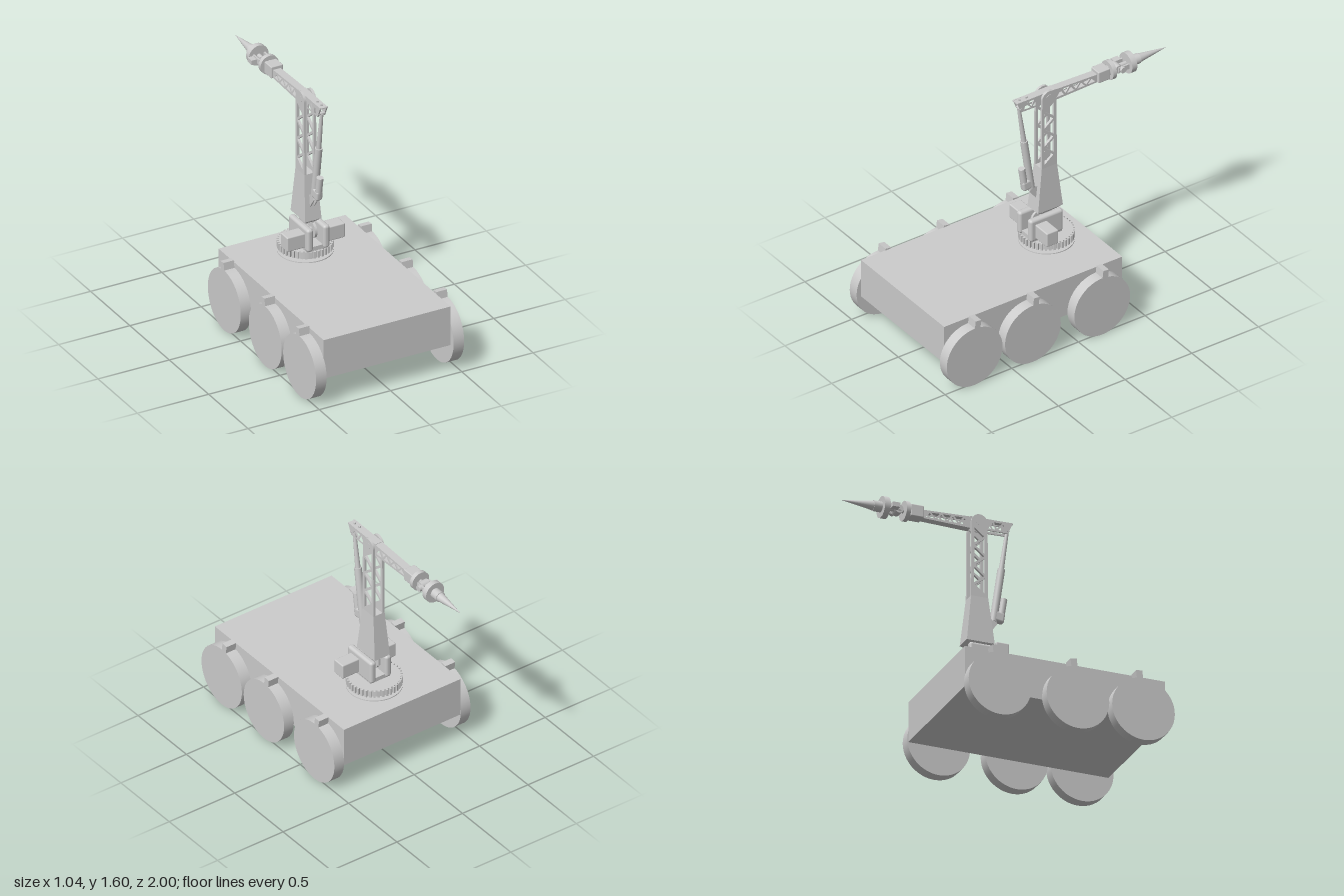
import * as THREE from 'three';
import { RoundedBoxGeometry } from 'three/addons/geometries/RoundedBoxGeometry.js';

const mat = new THREE.MeshStandardMaterial({ color: 0xcccccc });

function add(parent, name, geo, x = 0, y = 0, z = 0) {
  const mesh = new THREE.Mesh(geo, mat);
  mesh.name = name;
  mesh.position.set(x, y, z);
  parent.add(mesh);
  return mesh;
}
const box = (w, h, d) => new THREE.BoxGeometry(w, h, d);
const cylX = (r, len, seg = 32) => new THREE.CylinderGeometry(r, r, len, seg).rotateZ(Math.PI / 2);
const cylZ = (r, len, seg = 32) => new THREE.CylinderGeometry(r, r, len, seg).rotateX(Math.PI / 2);

// Round rod between two points of the x = 0 plane, given as [z, y]
function rod(parent, name, a, b, ra, rb, seg = 20) {
  const p = new THREE.Vector3(0, a[1], a[0]), q = new THREE.Vector3(0, b[1], b[0]);
  const dir = q.clone().sub(p);
  const mesh = add(parent, name, new THREE.CylinderGeometry(rb, ra, dir.length(), seg));
  mesh.position.copy(p).add(q).multiplyScalar(0.5);
  mesh.quaternion.setFromUnitVectors(new THREE.Vector3(0, 1, 0), dir.normalize());
  return mesh;
}

// Box tapering from bottom (w0 by z range) to top (w1 by z range)
function frustum(y0, w0, za0, zb0, y1, w1, za1, zb1) {
  const geo = box(1, 1, 1), p = geo.attributes.position;
  for (let i = 0; i < p.count; i++) {
    const top = p.getY(i) > 0, front = p.getZ(i) > 0;
    p.setXYZ(i, p.getX(i) * (top ? w1 : w0), top ? y1 : y0,
      top ? (front ? za1 : zb1) : (front ? za0 : zb0));
  }
  geo.computeVertexNormals();
  return geo;
}

// Alternating triangular cutouts between rail a0-a1 and rail b0-b1
function trussHoles(shape, a0, a1, b0, b1, n, shrink = 0.76) {
  const at = (p, q, t) => new THREE.Vector2(p[0] + (q[0] - p[0]) * t, p[1] + (q[1] - p[1]) * t);
  for (let i = 0; i < n; i++) {
    const rails = i % 2 ? [b0, b1, a0, a1] : [a0, a1, b0, b1];
    const tri = [at(rails[0], rails[1], i / (n + 1)), at(rails[0], rails[1], (i + 2) / (n + 1)),
      at(rails[2], rails[3], (i + 1) / (n + 1))];
    const c = tri[0].clone().add(tri[1]).add(tri[2]).divideScalar(3);
    shape.holes.push(new THREE.Path(tri.map(v => v.sub(c).multiplyScalar(shrink).add(c))));
  }
}

// Plate drawn in (z, y), centred on its thickness along x
function sidePlate(shape, t) {
  return new THREE.ExtrudeGeometry(shape, { depth: t, bevelEnabled: false, curveSegments: 16 })
    .translate(0, 0, -t / 2).rotateY(-Math.PI / 2);
}

function buildChassis(root) {
  add(root, 'chassis', box(0.89, 0.27, 1.335), -0.005, 0.322, 0.297);
  for (const x of [-0.485, 0.48]) {
    for (const z of [0.79, 0.353, -0.167]) {
      const wheel = new THREE.Group();
      wheel.name = 'wheel';
      wheel.position.set(x, 0.21, z);
      add(wheel, 'tyre', cylX(0.209, 0.074, 48));
      const tab = add(wheel, 'wheelTab', box(0.074, 0.07, 0.042), 0, 0.222, -0.025);
      tab.rotation.x = -0.12;
      root.add(wheel);
    }
  }
}

function buildTurntable(arm) {
  const z = -0.103;
  add(arm, 'basePlate', new THREE.CylinderGeometry(0.175, 0.175, 0.008, 48), 0, 0.459, z);
  add(arm, 'basePedestal', new THREE.CylinderGeometry(0.132, 0.132, 0.03, 48), 0, 0.475, z);
  add(arm, 'ringGear', new THREE.CylinderGeometry(0.163, 0.163, 0.046, 48), 0, 0.508, z);
  const teeth = new THREE.Group();
  teeth.name = 'gearTeeth';
  for (let i = 0; i < 40; i++) {
    const a = i / 40 * Math.PI * 2;
    const tooth = add(teeth, 'tooth', box(0.014, 0.046, 0.024),
      Math.sin(a) * 0.164, 0.508, z + Math.cos(a) * 0.164);
    tooth.rotation.y = a;
  }
  arm.add(teeth);

  // U-shaped yoke with the drive housings on both sides
  add(arm, 'yokeFloor', box(0.15, 0.028, 0.22), 0, 0.545, -0.055);
  for (const s of [-1, 1]) {
    add(arm, 'yokeCheek', new RoundedBoxGeometry(0.044, 0.158, 0.248, 4, 0.018), s * 0.058, 0.612, -0.053);
    add(arm, 'driveHousing', new RoundedBoxGeometry(0.135, 0.1, 0.088, 3, 0.008), s * 0.136, 0.606, -0.008);
    add(arm, 'pivotLug', cylX(0.055, 0.016), s * 0.024, 0.615, -0.06);
    add(arm, 'lugStem', box(0.016, 0.09, 0.08), s * 0.024, 0.65, -0.085);
  }
  add(arm, 'pivotPin', cylX(0.02, 0.1), 0, 0.615, -0.06);
}

function buildMast(arm) {
  add(arm, 'mastNeck', frustum(0.685, 0.07, -0.03, -0.15, 0.712, 0.115, 0, -0.186));
  add(arm, 'mastFoot', frustum(0.71, 0.115, 0, -0.186, 1.02, 0.085, -0.038, -0.152));
  // Lattice side plates with rounded heads
  const s = new THREE.Shape();
  s.moveTo(-0.152, 1.01);
  s.lineTo(-0.038, 1.01);
  s.lineTo(-0.042, 1.525);
  s.absarc(-0.095, 1.525, 0.053, 0, Math.PI, false);
  s.lineTo(-0.152, 1.01);
  trussHoles(s, [-0.052, 1.03], [-0.054, 1.5], [-0.138, 1.03], [-0.136, 1.5], 6, 0.78);
  for (const side of [-1, 1]) add(arm, 'mastSidePlate', sidePlate(s, 0.016), side * 0.0345);
  add(arm, 'boomPivot', cylX(0.022, 0.088), 0, 1.53, -0.095);
}

function buildBoom(arm) {
  const s = new THREE.Shape([[0.135, 1.565], [0.1, 1.49], [-0.15, 1.485], [-0.47, 1.495],
    [-0.47, 1.548], [-0.15, 1.56]].map(p => new THREE.Vector2(...p)));
  trussHoles(s, [-0.15, 1.493], [-0.46, 1.501], [-0.15, 1.552], [-0.46, 1.541], 7, 0.72);
  trussHoles(s, [0.09, 1.498], [-0.04, 1.495], [0.11, 1.555], [-0.04, 1.553], 3, 0.72);
  for (const side of [-1, 1]) add(arm, 'boomSidePlate', sidePlate(s, 0.008), side * 0.0225);
  add(arm, 'boomTopRear', box(0.053, 0.007, 0.285), 0, 1.56, -0.008);
  const top = add(arm, 'boomTopFront', box(0.053, 0.007, 0.32), 0, 1.551, -0.31);
  top.rotation.x = -0.037;
  const floor = add(arm, 'boomFloor', box(0.053, 0.007, 0.32), 0, 1.491, -0.31);
  floor.rotation.x = 0.031;
  for (const z of [0.1, 0.05])
    add(arm, 'boomBolt', new THREE.CylinderGeometry(0.008, 0.008, 0.014, 12), 0, 1.567, z);
  add(arm, 'rodPin', cylX(0.009, 0.056, 16), 0, 1.51, 0.103);
}

function buildActuator(arm) {
  rod(arm, 'pistonRod', [0.066, 1.24], [0.105, 1.51], 0.017, 0.011);
  rod(arm, 'actuatorBarrel', [0.013, 0.885], [0.067, 1.25], 0.024, 0.024);
  // Motor alongside the barrel and the gearbox joining them
  rod(arm, 'actuatorMotor', [0.06, 0.9], [0.084, 1.05], 0.022, 0.022);
  const gearbox = add(arm, 'actuatorGearbox', new RoundedBoxGeometry(0.046, 0.07, 0.085, 3, 0.015), 0, 0.922, 0.042);
  gearbox.rotation.x = 0.15;
  // Clevis on the front of the mast
  for (const side of [-1, 1]) {
    const s = new THREE.Shape([[-0.03, 0.78], [0.035, 0.87], [0.015, 0.9], [-0.03, 0.88]]
      .map(p => new THREE.Vector2(...p)));
    add(arm, 'actuatorClevis', sidePlate(s, 0.008), side * 0.014);
  }
}

function buildTool(arm) {
  const y = 1.53;
  const tool = new THREE.Group();
  tool.name = 'toolHead';
  tool.position.set(0.002, y, 0);
  add(tool, 'wristBox', new RoundedBoxGeometry(0.084, 0.08, 0.088, 2, 0.006), 0, 0, -0.508);
  add(tool, 'wristCollar', cylZ(0.035, 0.02), 0, 0, -0.552);
  add(tool, 'wristFlange', cylZ(0.064, 0.028, 40), 0, 0, -0.573);
  // Cross-axis wrist joint
  add(tool, 'wristShaft', cylZ(0.015, 0.12, 20), 0, 0, -0.635);
  add(tool, 'wristKnuckle', cylX(0.028, 0.06, 24), 0.005, 0, -0.622);
  for (const side of [-1, 1]) add(tool, 'wristFork', box(0.012, 0.034, 0.08), side * 0.038, 0, -0.655);
  add(tool, 'wristMotor', box(0.04, 0.03, 0.05), -0.062, -0.003, -0.665);
  add(tool, 'wristCap', cylX(0.02, 0.03, 20), 0.045, 0, -0.64);
  add(tool, 'toolFlange', cylZ(0.069, 0.038, 40), 0, 0, -0.716);
  add(tool, 'toolCollar', cylZ(0.034, 0.06, 32), 0, 0, -0.76);
  add(tool, 'toolSpike', new THREE.ConeGeometry(0.03, 0.212, 32).rotateX(-Math.PI / 2), 0, 0, -0.894);
  arm.add(tool);
}

export function createModel() {
  const root = new THREE.Group();
  root.name = 'sixWheeledArmRover';
  buildChassis(root);
  const arm = new THREE.Group();
  arm.name = 'arm';
  arm.position.x = 0.011;
  root.add(arm);
  buildTurntable(arm);
  buildMast(arm);
  buildBoom(arm);
  buildActuator(arm);
  buildTool(arm);
  return root;
}
